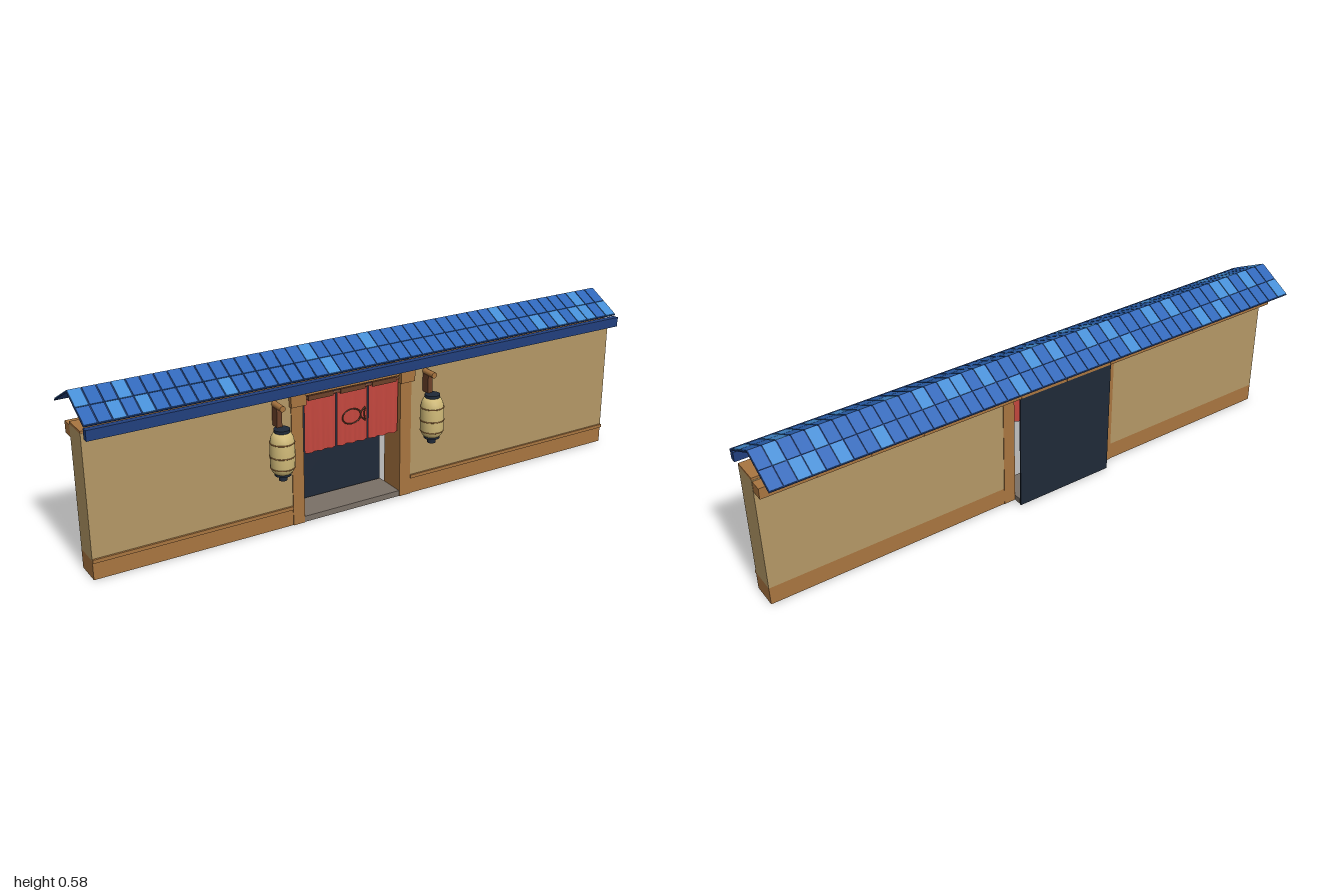
import * as THREE from 'three';
import { mergeGeometries } from 'three/addons/utils/BufferGeometryUtils.js';

const mat = (name, color) => {
  const m = new THREE.MeshStandardMaterial({ color });
  m.name = name;
  return m;
};

export function createModel() {
  const plaster = mat('tan plaster', 0xb39765);
  const wood = mat('warm wood', 0xa87540);
  const darkWood = mat('dark wood', 0x6b4129);
  const cloth = mat('red cloth', 0xc4473e);
  cloth.side = THREE.DoubleSide;
  const ink = mat('ink navy', 0x1f2938);
  const deepBlue = mat('deep blue', 0x213f7d);
  const tileBlue = mat('tile blue', 0x2d66b8);
  const lightBlue = mat('light tile blue', 0x448dd4);
  const paper = mat('cream paper', 0xd0ba78);
  const stone = mat('grey stone', 0x7a7066);

  const model = new THREE.Group();
  model.name = 'gateWall';

  const add = (name, geo, material, parent = model) => {
    const m = new THREE.Mesh(geo, material);
    m.name = name;
    parent.add(m);
    return m;
  };
  // box given by its min and max on each axis
  const boxGeo = (x0, x1, y0, y1, z0, z1) =>
    new THREE.BoxGeometry(x1 - x0, y1 - y0, z1 - z0)
      .translate((x0 + x1) / 2, (y0 + y1) / 2, (z0 + z1) / 2);
  const box = (name, material, ...b) => add(name, boxGeo(...b), material);

  // wall sections either side of the doorway
  for (const [x0, x1] of [[-1, -0.32], [0.135, 1]]) {
    box('wallBase', wood, x0, x1, 0, 0.064, -0.026, 0.066);
    box('wallPanel', plaster, x0, x1, 0.064, 0.474, -0.026, 0.066);
    box('baseTrim', wood, x0, x1, 0.058, 0.07, 0.066, 0.073);
    box('wallCap', wood, x0, x1, 0.474, 0.482, -0.025, 0.065);
  }

  // door frame
  for (const [x0, x1] of [[-0.32, -0.278], [0.092, 0.135]]) {
    box('doorPost', wood, x0, x1, 0, 0.475, -0.028, 0.069);
    box('postCapital', wood, x0 - 0.006, x1 + 0.006, 0.416, 0.47, 0.06, 0.082);
  }
  box('lintel', wood, -0.278, 0.092, 0.443, 0.47, 0.03, 0.072);
  box('threshold', stone, -0.278, 0.092, 0, 0.02, -0.055, 0.066);
  box('slidingDoor', ink, -0.275, 0.095, 0.002, 0.432, -0.067, -0.062);

  // rear rail made of butted lengths
  const n = 11;
  for (let i = 0; i < n; i++) {
    const x0 = -1 + (2 * i) / n;
    box('rearRail', wood, x0, x0 + 2 / n - 0.001, 0.432, 0.47, -0.068, -0.026);
  }

  // hanging curtain: three gently pleated panels
  const rod = add('curtainRod', new THREE.CylinderGeometry(0.005, 0.005, 0.366, 8), darkWood);
  rod.rotation.z = Math.PI / 2;
  rod.position.set(-0.093, 0.432, 0.064);
  for (let i = 0; i < 3; i++) {
    const cx = -0.213 + i * 0.12;
    const g = new THREE.PlaneGeometry(0.115, 0.196, 24, 6);
    const p = g.attributes.position;
    for (let k = 0; k < p.count; k++) {
      const drop = 0.5 - p.getY(k) / 0.196;
      p.setZ(k, Math.cos(p.getX(k) * 165) * 0.004 * (0.3 + 0.7 * drop));
    }
    g.computeVertexNormals();
    add('curtainPanel', g, cloth).position.set(cx, 0.34, 0.066);
    box('curtainBand', darkWood, cx - 0.046, cx + 0.046, 0.424, 0.44, 0.062, 0.072);
  }

  // fish ornament on the middle panel
  const fish = new THREE.Group();
  fish.name = 'fishOrnament';
  fish.position.set(-0.1, 0.338, 0.073);
  model.add(fish);
  add('fishBody', new THREE.TorusGeometry(0.03, 0.0025, 6, 28), darkWood, fish).scale.set(1.15, 0.85, 1);
  const tail = new THREE.CatmullRomCurve3([
    [0.032, 0.006], [0.052, 0.024], [0.047, 0], [0.052, -0.024], [0.032, -0.006],
  ].map(([x, y]) => new THREE.Vector3(x, y, 0)), false, 'catmullrom', 0.1);
  add('fishTail', new THREE.TubeGeometry(tail, 20, 0.0025, 6), darkWood, fish);

  // lanterns hung from wall brackets
  const bodyProfile = [
    [0, 0.22], [0.028, 0.222], [0.036, 0.232], [0.0395, 0.245], [0.0405, 0.285],
    [0.0395, 0.325], [0.036, 0.343], [0.027, 0.36], [0, 0.361],
  ].map(([r, y]) => new THREE.Vector2(r, y));
  for (const x of [-0.378, 0.19]) {
    const lantern = new THREE.Group();
    lantern.name = 'lantern';
    lantern.position.set(x, 0, 0.113);
    model.add(lantern);
    add('paperBody', new THREE.LatheGeometry(bodyProfile, 24), paper, lantern);
    for (const [y, r] of [[0.242, 0.0388], [0.281, 0.0402], [0.326, 0.0392]]) {
      const hoop = add('hoop', new THREE.TorusGeometry(r, 0.002, 6, 24), wood, lantern);
      hoop.rotation.x = Math.PI / 2;
      hoop.position.y = y;
    }
    for (const [name, y, r, h] of [
      ['topCap', 0.3645, 0.026, 0.011], ['bottomCap', 0.219, 0.027, 0.01], ['foot', 0.206, 0.014, 0.019],
    ]) add(name, new THREE.CylinderGeometry(r, r, h, 20), ink, lantern).position.y = y;
    box('hanger', darkWood, x - 0.009, x + 0.009, 0.369, 0.432, 0.068, 0.1);
    const arm = add('bracketArm', new THREE.CylinderGeometry(0.01, 0.01, 0.057, 12), wood);
    arm.rotation.x = Math.PI / 2;
    arm.position.set(x, 0.438, 0.0945);
  }

  // front gutter with its lip
  box('gutter', deepBlue, -1, 1, 0.468, 0.502, 0.094, 0.115);
  box('gutterLip', deepBlue, -1, 1, 0.497, 0.503, 0.113, 0.118);

  // tiled roof, two mirrored slopes
  let seed = 7;
  const rand = () => (seed = (seed * 16807) % 2147483647) / 2147483647;
  const run = 0.127, rise = 0.067, len = Math.hypot(run, rise);
  const cols = 45, rows = 2, w = 2 / cols, d = len / rows;
  for (const side of [1, -1]) {
    const slope = new THREE.Group();
    slope.name = side > 0 ? 'frontRoofSlope' : 'backRoofSlope';
    slope.position.set(0, 0.578, -0.025);
    slope.rotation.order = 'YXZ';
    slope.rotation.set(Math.atan2(rise, run), side > 0 ? 0 : Math.PI, 0);
    model.add(slope);
    add('roofBoard', boxGeo(-1, 1, -0.006, -0.002, 0, len), deepBlue, slope);
    const plain = [], pale = [];
    for (let r = 0; r < rows; r++) {
      for (let c = 0; c < cols; c++) {
        const x = -1 + c * w;
        (rand() < 0.24 ? pale : plain).push(
          boxGeo(x + 0.002, x + w - 0.002, -0.002, 0.001, r * d + 0.001, (r + 1) * d - 0.002));
      }
    }
    add('roofTiles', mergeGeometries(plain), tileBlue, slope);
    add('paleRoofTiles', mergeGeometries(pale), lightBlue, slope);
  }

  return model;
}
